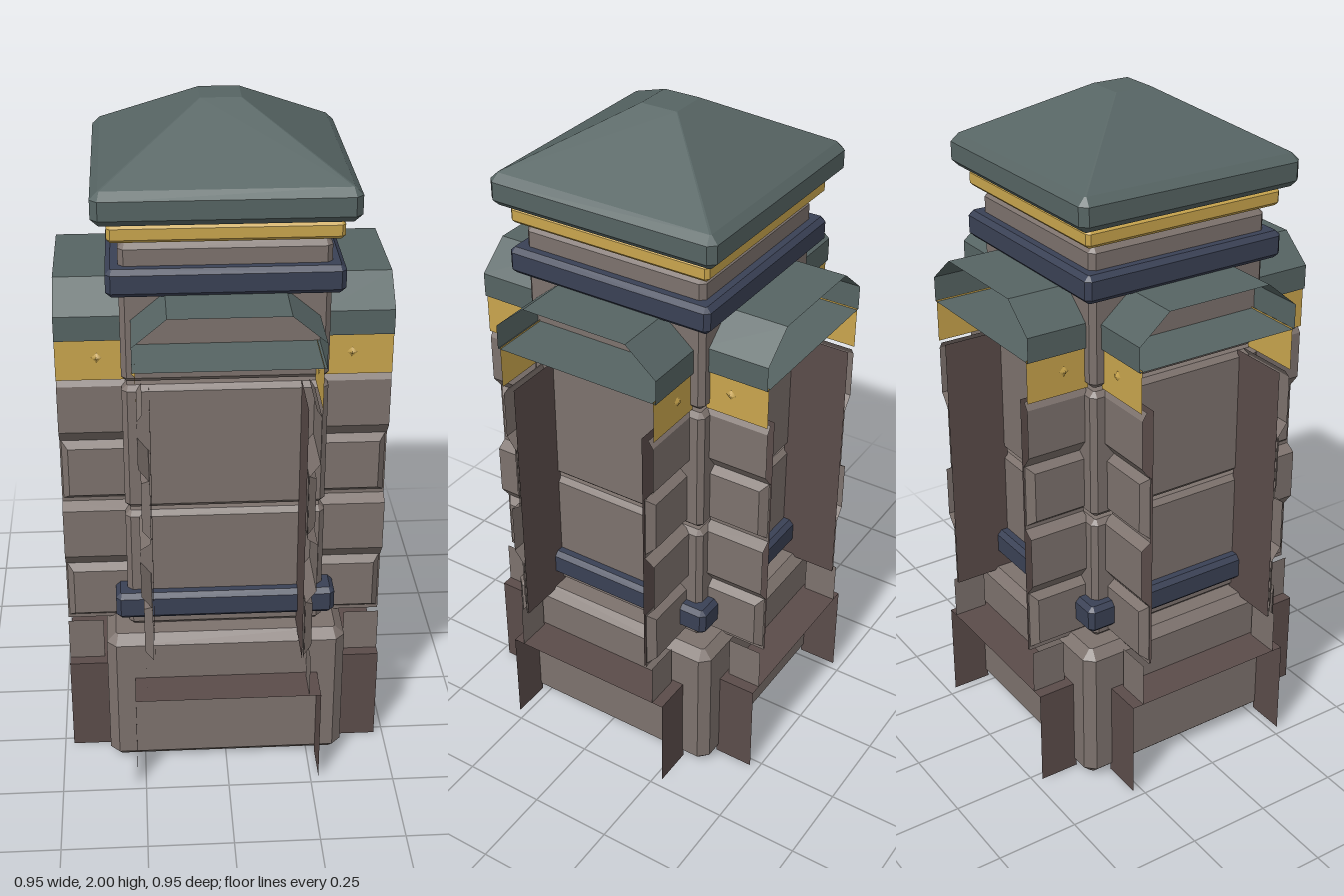
import * as THREE from 'three';
import { ConvexGeometry } from 'three/addons/geometries/ConvexGeometry.js';

const mat = (name, color) => new THREE.MeshStandardMaterial({ name, color, side: THREE.DoubleSide });

// eight-point square ring with half width h and corners cut by c
function ring(h, c, y) {
  const pts = [];
  for (const a of [-1, 1]) for (const b of [-1, 1]) {
    pts.push(new THREE.Vector3(a * h, y, b * (h - c)), new THREE.Vector3(a * (h - c), y, b * h));
  }
  return pts;
}

// square block with all edges bevelled
function block(h, y0, y1, b) {
  return new ConvexGeometry([
    ...ring(h - b, b / 4, y0), ...ring(h, b, y0 + b), ...ring(h, b, y1 - b), ...ring(h - b, b / 4, y1),
  ]);
}

// removes the underside of a convex block
function openBottom(geo) {
  const p = geo.attributes.position, n = geo.attributes.normal, out = [];
  for (let i = 0; i < p.count; i += 3) {
    if (n.getY(i) < -0.95) continue;
    for (let k = i; k < i + 3; k++) out.push(p.getX(k), p.getY(k), p.getZ(k));
  }
  return fromPositions(out);
}

function fromPositions(arr) {
  const g = new THREE.BufferGeometry();
  g.setAttribute('position', new THREE.Float32BufferAttribute(arr, 3));
  g.computeVertexNormals();
  return g;
}

// open sheet: an x,y profile swept along z, flat faces, no end caps
function sheet(profile, z0, z1, side = 1) {
  const out = [];
  for (let i = 0; i < profile.length - 1; i++) {
    const [ax, ay] = profile[i], [bx, by] = profile[i + 1];
    const A = [side * ax, ay, z0], B = [side * bx, by, z0], C = [side * bx, by, z1], D = [side * ax, ay, z1];
    const quad = side > 0 ? [A, B, C, A, C, D] : [A, C, B, A, D, C];
    for (const v of quad) out.push(...v);
  }
  return fromPositions(out);
}

// raised panel on a wing wall
function panelGeometry(side, y0, y1) {
  const pts = [], b = 0.02;
  for (const [x, i] of [[0.218, 0], [0.243, b]]) {
    for (const y of [y0 + i, y1 - i]) for (const z of [0.28, 0.47 - i]) pts.push(new THREE.Vector3(side * x, y, z));
  }
  return new ConvexGeometry(pts);
}

export function createModel() {
  const stone = mat('stone', 0x7d726d);
  const darkStone = mat('dark stone', 0x5b4c4a);
  const slate = mat('slate', 0x566463);
  const gold = mat('gold', 0xc9a54d);
  const navy = mat('navy', 0x3a4155);

  const model = new THREE.Group();
  model.name = 'tower';
  const add = (parent, name, geo, material) => {
    const m = new THREE.Mesh(geo, material);
    m.name = name;
    parent.add(m);
    return m;
  };

  // central shaft with narrow gaps between its sections
  add(model, 'base', openBottom(block(0.357, 0, 0.45, 0.028)), stone);
  add(model, 'lowerShaft', block(0.29, 0.45, 0.845, 0.015), stone);
  add(model, 'middleShaft', block(0.29, 0.857, 1.25, 0.015), stone);
  add(model, 'upperShaft', block(0.29, 1.262, 1.672, 0.015), stone);
  add(model, 'lowerBand', block(0.325, 0.495, 0.58, 0.014), navy);
  add(model, 'upperBand', block(0.325, 1.53, 1.61, 0.014), navy);
  add(model, 'goldTrim', block(0.318, 1.684, 1.735, 0.01), gold);

  // hipped roof
  add(model, 'roof', new ConvexGeometry([
    ...ring(0.338, 0.005, 1.742), ...ring(0.358, 0.02, 1.762), ...ring(0.358, 0.02, 1.815),
    ...ring(0.336, 0.004, 1.837), ...ring(0.057, 0.002, 2),
  ]), slate);

  // four open-ended wings
  const end = 0.473;
  const wallProfile = [[0.22, 0.44], [0.22, 0.635], [0.25, 0.675], [0.25, 0.83], [0.22, 0.85],
    [0.22, 1.05], [0.25, 1.09], [0.25, 1.235], [0.235, 1.257]];
  const hood = [[-0.26, 1.38], [-0.26, 1.453], [-0.165, 1.533], [0.165, 1.533], [0.26, 1.453], [0.26, 1.38], [-0.26, 1.38]];
  for (let i = 0; i < 4; i++) {
    const wing = new THREE.Group();
    wing.name = 'wing' + (i + 1);
    wing.rotation.y = i * Math.PI / 2;
    model.add(wing);

    add(wing, 'wingFoot', sheet([[-0.275, 0], [-0.275, 0.305], [0.275, 0.305], [0.275, 0]], 0.35, end), darkStone);
    add(wing, 'wingHood', sheet(hood, 0.27, end), slate);
    for (const s of [-1, 1]) {
      add(wing, 'wingPlinth', sheet([[0.24, 0.305], [0.24, 0.44]], 0.367, end, s), stone);
      add(wing, 'wingWall', sheet(wallProfile, 0.28, end, s), stone);
      add(wing, 'wingLining', sheet([[0.214, 0.44], [0.214, 1.257]], 0.28, end, s), darkStone);
      add(wing, 'lowerPanel', panelGeometry(s, 0.45, 0.637), stone);
      add(wing, 'upperPanel', panelGeometry(s, 0.86, 1.052), stone);
      add(wing, 'goldPlate', sheet([[0.252, 1.257], [0.252, 1.385]], 0.28, end, s), gold);
      const stud = add(wing, 'stud', new THREE.ConeGeometry(0.016, 0.012, 4), gold);
      stud.position.set(s * 0.257, 1.325, 0.357);
      stud.rotation.z = -s * Math.PI / 2;
    }
  }
  return model;
}
